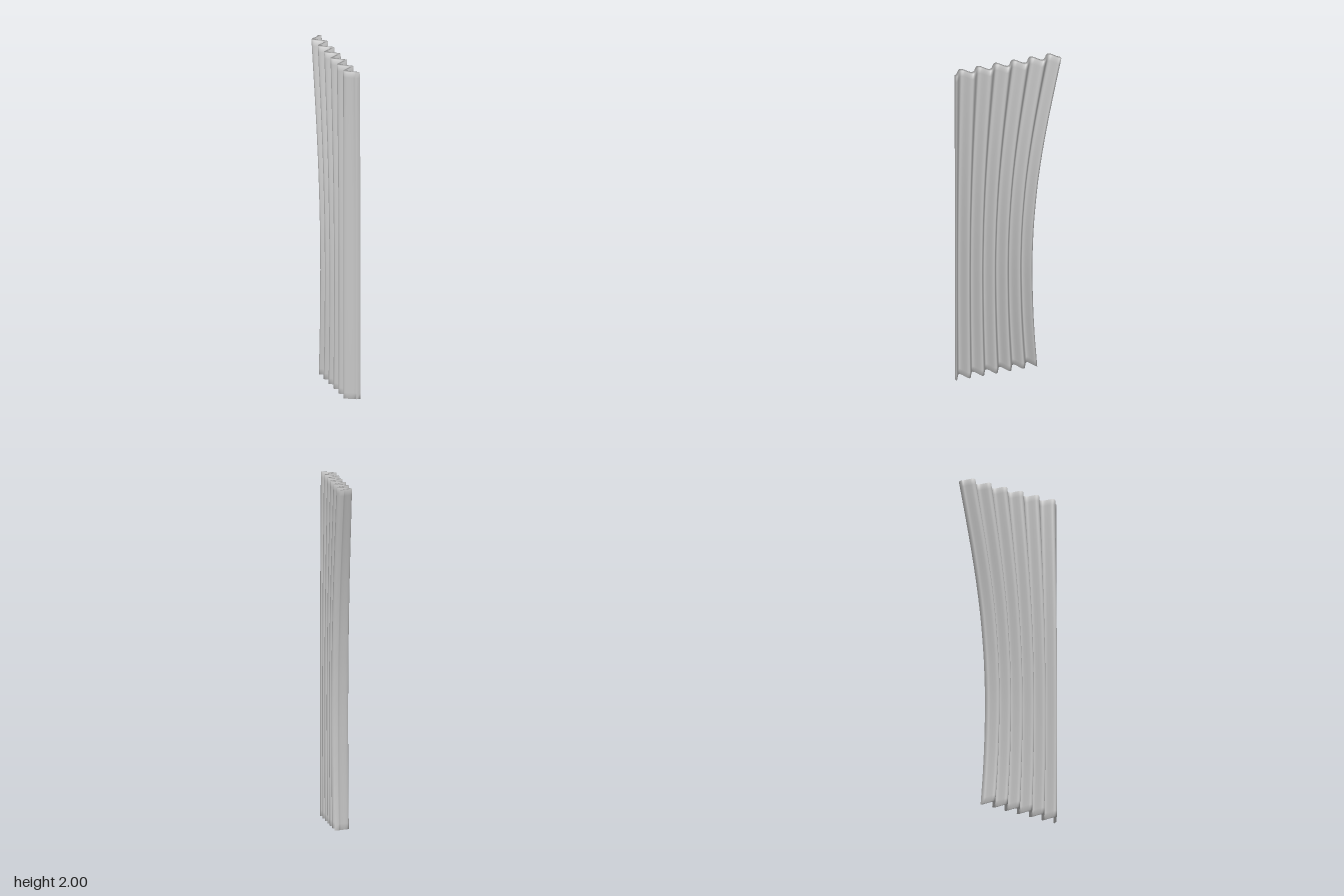
import * as THREE from 'three';

const FOLDS = 6, STEPS = 72, ROWS = 40, HALF = 0.012, FRONT = 0.32;

// Swept rear edge of the drape: [height, z]
const rearEdge = new THREE.SplineCurve([
  [0, -0.172], [0.2, -0.157], [0.4, -0.147], [0.65, -0.142], [0.85, -0.147], [1, -0.156],
  [1.2, -0.175], [1.4, -0.203], [1.6, -0.238], [1.8, -0.278], [2, -0.32],
].map(([y, z]) => new THREE.Vector2(y, z)));

// Thick pleated sheet built from stacked closed wavy sections
function pleatedSheet() {
  const n = 2 * (STEPS + 1), positions = [], index = [];
  for (let j = 0; j <= ROWS; j++) {
    const { x: y, y: rear } = rearEdge.getPoint(j / ROWS);
    const depth = 0.0285 + 0.03 * (rear + 0.32);        // pleats deepen where gathered
    for (let k = 0; k < n; k++) {
      const outer = k <= STEPS;
      const u = (outer ? k : n - 1 - k) / STEPS;
      const x = depth * Math.cos(u * FOLDS * 2 * Math.PI) + (outer ? HALF : -HALF);
      positions.push(x, y, FRONT + (rear - FRONT) * u);
    }
  }
  // Faces and the two end edges
  for (let j = 0; j < ROWS; j++) {
    for (let k = 0; k < n; k++) {
      const a = j * n + k, b = j * n + (k + 1) % n;
      index.push(a, b, b + n, a, b + n, a + n);
    }
  }
  // Hem and top edge
  const top = ROWS * n;
  for (let k = 0; k < STEPS; k++) {
    const p = n - 1 - k, q = p - 1;
    index.push(top + k, top + k + 1, top + q, top + k, top + q, top + p);
    index.push(k, q, k + 1, k, p, q);
  }
  const geometry = new THREE.BufferGeometry();
  geometry.setAttribute('position', new THREE.Float32BufferAttribute(positions, 3));
  geometry.setIndex(index);
  geometry.computeVertexNormals();
  return geometry;
}

export function createModel() {
  const group = new THREE.Group();
  group.name = 'curtain';
  const fabric = new THREE.MeshStandardMaterial({ color: 0xc8c8c8 });
  fabric.name = 'light grey fabric';
  const drape = new THREE.Mesh(pleatedSheet(), fabric);
  drape.name = 'pleatedDrape';
  group.add(drape);
  return group;
}
